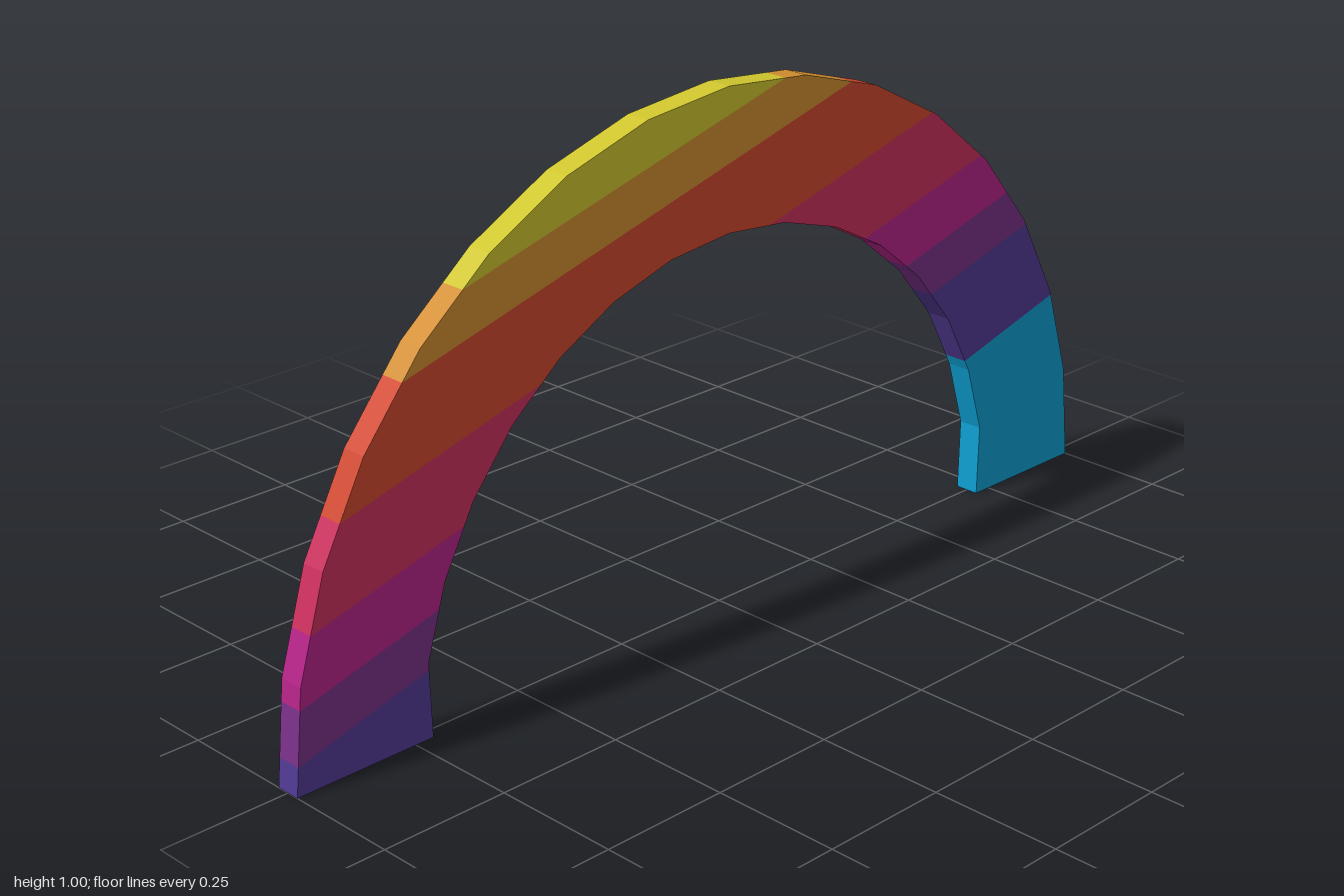
import * as THREE from 'three';

const SEGMENTS = 16, OUTER = 1, INNER = 0.73, FOOT_X = 0.712, HALF = 0.025;
const SLOPE = 0.268; // tilt of the colour bands

// name, colour, lower limit of each band (measured as y - SLOPE * x)
const BANDS = [
  ['cyan', 0x0d9fd2, -2],
  ['indigo', 0x523a94, 0.124],
  ['purple', 0x7a318a, 0.321],
  ['magenta', 0xb62488, 0.418],
  ['crimson', 0xcb305d, 0.535],
  ['red', 0xd1482f, 0.692],
  ['orange', 0xd38e2f, 0.859],
  ['yellow', 0xd0c62e, 0.948],
];

const level = (p) => p.y - SLOPE * p.x;

// keep the part of a convex polygon above (sign 1) or below (sign -1) a limit
function clip(poly, limit, sign) {
  const out = [];
  poly.forEach((a, i) => {
    const b = poly[(i + 1) % poly.length];
    const da = sign * (level(a) - limit), db = sign * (level(b) - limit);
    if (da >= 0) out.push(a);
    if (da * db < 0) out.push(a.clone().lerp(b, da / (da - db)));
  });
  return out;
}

// all outside faces of the arch, as quads wound counter-clockwise
function archFaces() {
  const outer = [], inner = [];
  for (let i = 0; i <= SEGMENTS; i++) {
    const t = (i / SEGMENTS) * Math.PI, c = Math.cos(t);
    const s = i % SEGMENTS ? Math.sin(t) : 0;
    outer.push([OUTER * c, OUTER * s]);
    inner.push(i % SEGMENTS ? [INNER * c, INNER * s] : [FOOT_X * c, 0]);
  }
  const v = (p, z) => new THREE.Vector3(p[0], p[1], z * HALF);
  const wall = (a, b) => [v(a, 1), v(a, -1), v(b, -1), v(b, 1)];
  const faces = [];
  for (let i = 0; i < SEGMENTS; i++) {
    const a = outer[i], b = outer[i + 1], c = inner[i + 1], d = inner[i];
    faces.push([v(a, 1), v(b, 1), v(c, 1), v(d, 1)]); // front
    faces.push([v(d, -1), v(c, -1), v(b, -1), v(a, -1)]); // back
    faces.push(wall(a, b), wall(c, d)); // outside and inside of the curve
  }
  faces.push(wall(inner[0], outer[0]), wall(outer[SEGMENTS], inner[SEGMENTS])); // feet
  return faces;
}

export function createModel() {
  const group = new THREE.Group();
  group.name = 'arch';
  const faces = archFaces();
  BANDS.forEach(([name, color, low], i) => {
    const high = i + 1 < BANDS.length ? BANDS[i + 1][2] : 2;
    const points = [];
    for (const face of faces) {
      const poly = clip(clip(face, low, 1), high, -1);
      for (let k = 1; k + 1 < poly.length; k++) points.push(poly[0], poly[k], poly[k + 1]);
    }
    const geometry = new THREE.BufferGeometry().setFromPoints(points);
    geometry.computeVertexNormals();
    const material = new THREE.MeshStandardMaterial({ color });
    material.name = name;
    const mesh = new THREE.Mesh(geometry, material);
    mesh.name = name + 'Band';
    group.add(mesh);
  });
  return group;
}
